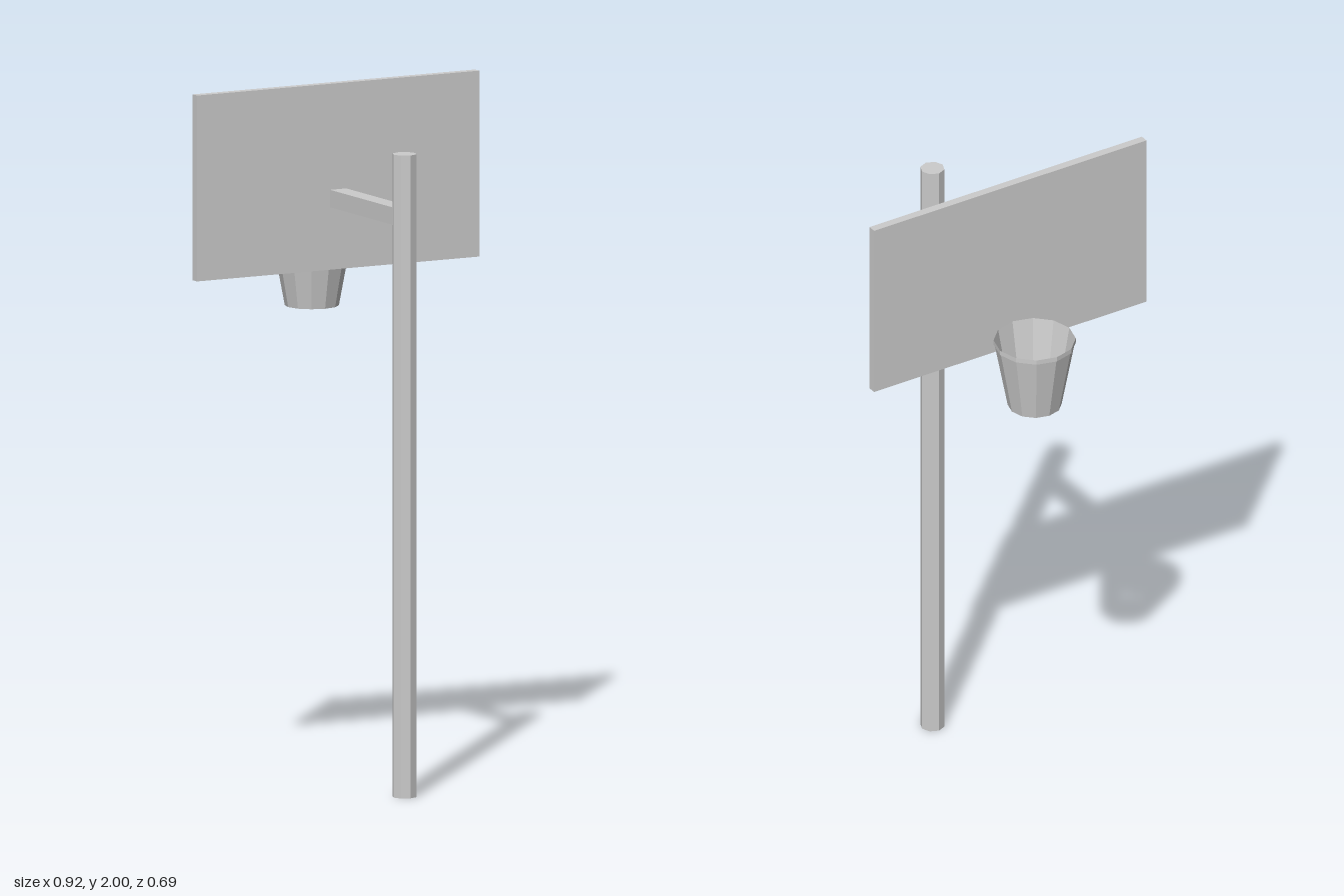
import * as THREE from 'three';

export function createModel() {
  const model = new THREE.Group();
  model.name = 'basketballHoop';

  const grey = new THREE.MeshStandardMaterial({ color: 0xcccccc, flatShading: true });
  grey.name = 'grey';
  const greyOpen = new THREE.MeshStandardMaterial({ color: 0xcccccc, flatShading: true, side: THREE.DoubleSide });
  greyOpen.name = 'greyOpen';

  const add = (name, geometry, material, x, y, z) => {
    const mesh = new THREE.Mesh(geometry, material);
    mesh.name = name;
    mesh.position.set(x, y, z);
    model.add(mesh);
  };

  // Eight-sided upright pole
  add('pole', new THREE.CylinderGeometry(0.035, 0.035, 1.85, 8), grey, 0, 0.925, 0.31);

  // Arm from the pole to the back of the board
  add('arm', new THREE.BoxGeometry(0.053, 0.05, 0.375), grey, 0, 1.67, 0.1125);

  // Backboard
  add('backboard', new THREE.BoxGeometry(0.92, 0.535, 0.025), grey, 0, 1.7325, -0.0875);

  // Thin open rim band and the tapered open net hanging inside it
  const hoopZ = -0.228;
  add('rim', new THREE.CylinderGeometry(0.117, 0.117, 0.014, 12, 1, true), greyOpen, 0, 1.548, hoopZ);
  add('net', new THREE.CylinderGeometry(0.117, 0.077, 0.215, 12, 1, true), greyOpen, 0, 1.4475, hoopZ);

  return model;
}
